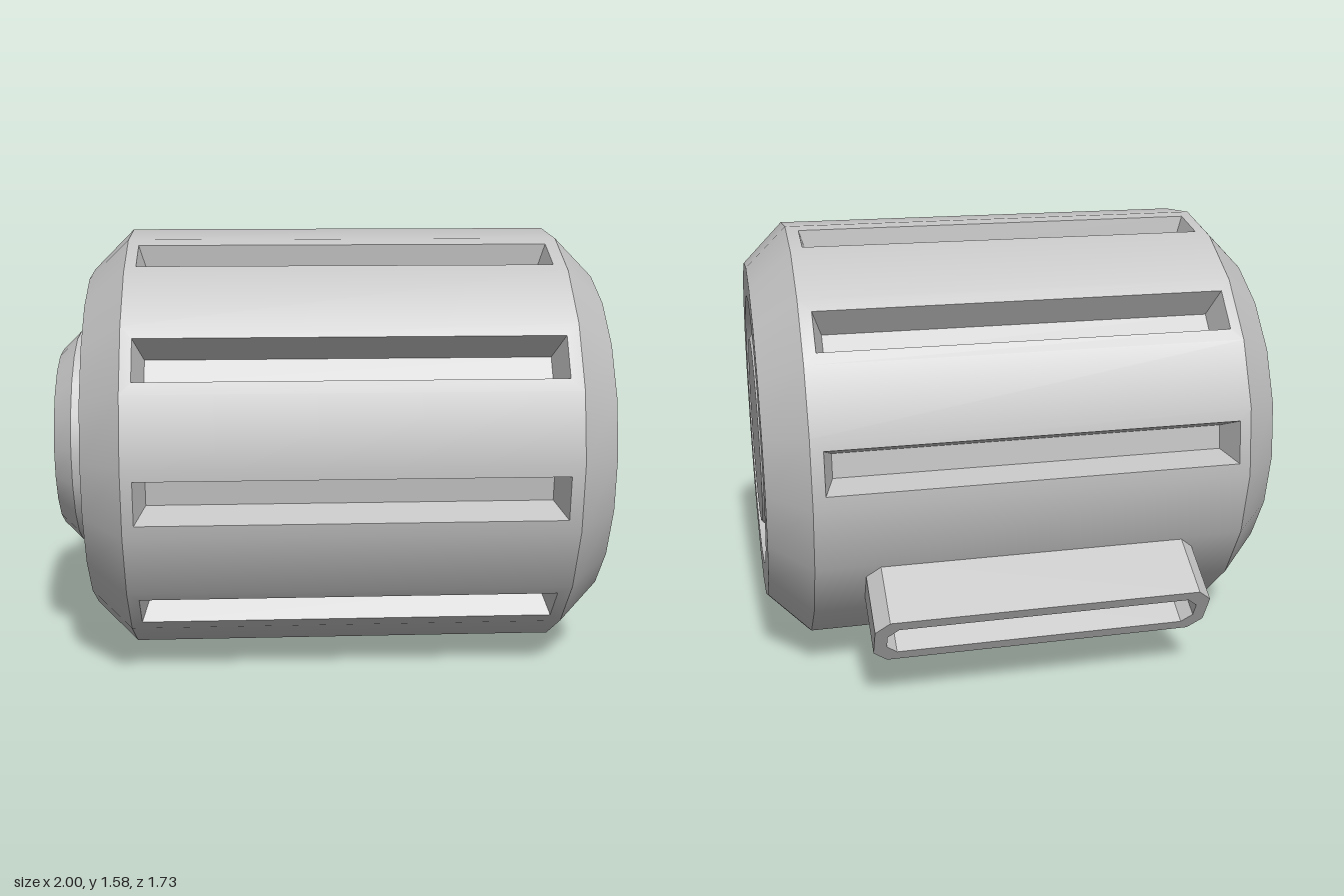
import * as THREE from 'three';
import { mergeGeometries } from 'three/addons/utils/BufferGeometryUtils.js';

const SIDES = 20;
const STEP = (Math.PI * 2) / SIDES;
const R = 0.793;                                  // corner radius of the drum
const APOTHEM = R * Math.cos(STEP / 2);
const HALF = R * Math.sin(STEP / 2);              // half width of one facet
const TURN = THREE.MathUtils.degToRad(3.7);       // rotation of the facets about the axis
const X0 = -0.72, X1 = 0.85;                      // ends of the straight drum wall
const CLIP_FACET = 12;

const facetAngle = (k) => TURN - STEP / 2 + STEP * k;
const radial = (a) => new THREE.Vector3(0, Math.sin(a), Math.cos(a));
const tangent = (a) => new THREE.Vector3(0, Math.cos(a), -Math.sin(a));

// Turned shape along x; every profile step is its own band so the rims stay sharp
function turned(profile) {
  const bands = [];
  for (let i = 0; i < profile.length - 1; i++) {
    const pts = [profile[i], profile[i + 1]].map(([r, x]) => new THREE.Vector2(r, x));
    bands.push(new THREE.LatheGeometry(pts, SIDES, -TURN).rotateZ(-Math.PI / 2));
  }
  return mergeGeometries(bands);
}

// Rectangle corners on a facet, counter-clockwise from outside
const rect = (x0, x1, h, r) => [[x0, -h, r], [x1, -h, r], [x1, h, r], [x0, h, r]];

// Drum wall with a tapered slot sunk in every second facet
function slottedWall() {
  const pos = [], nor = [];
  for (let k = 0; k < SIDES; k++) {
    const a = facetAngle(k), n = radial(a), t = tangent(a);
    const point = ([x, u, r]) =>
      new THREE.Vector3(x, 0, 0).addScaledVector(t, u).addScaledVector(n, r);
    const quad = (c, smooth) => {
      const p = c.map(point);
      const flat = p[1].clone().sub(p[0]).cross(p[2].clone().sub(p[0])).normalize();
      for (const i of [0, 1, 2, 0, 2, 3]) {
        const v = smooth ? radial(a + (STEP / 2) * (c[i][1] / HALF)) : flat;
        pos.push(p[i].x, p[i].y, p[i].z);
        nor.push(v.x, v.y, v.z);
      }
    };
    const outer = rect(X0, X1, HALF, APOTHEM);
    if (k % 2 || k === CLIP_FACET) {
      quad(outer, true);
      continue;
    }
    const rim = rect(-0.68, 0.805, 0.079, APOTHEM);
    const floor = rect(-0.645, 0.77, 0.044, APOTHEM - 0.11);
    for (let i = 0; i < 4; i++) {
      const j = (i + 1) % 4;
      quad([outer[i], outer[j], rim[j], rim[i]], true);
      quad([rim[i], rim[j], floor[j], floor[i]], false);
    }
    quad(floor, false);
  }
  const g = new THREE.BufferGeometry();
  g.setAttribute('position', new THREE.Float32BufferAttribute(pos, 3));
  g.setAttribute('normal', new THREE.Float32BufferAttribute(nor, 3));
  return g;
}

// Rectangle with cut corners
function octagon(l, w, c) {
  return [[-l + c, -w], [l - c, -w], [l, -w + c], [l, w - c],
    [l - c, w], [-l + c, w], [-l, w - c], [-l, -w + c]]
    .map(([x, y]) => new THREE.Vector2(x, y));
}

export function createModel() {
  const metal = new THREE.MeshStandardMaterial({ color: 0xc4c4c4 });
  metal.name = 'light grey metal';

  const model = new THREE.Group();
  model.name = 'slottedDrum';
  const add = (name, geometry, parent) => {
    const mesh = new THREE.Mesh(geometry, metal);
    mesh.name = name;
    parent.add(mesh);
    return mesh;
  };

  const drum = new THREE.Group();
  drum.name = 'drum';
  drum.position.set(0, 0.793, 0.07);
  model.add(drum);

  add('slottedWall', slottedWall(), drum);

  // Bevelled ends; the +x end holds a recess
  add('rightEnd', turned([[0.405, -0.87], [0.643, -0.87], [R, X0]]), drum);
  add('leftEnd', turned([[R, X1], [0.643, 1], [0.52, 1], [0.46, 0.85], [0.405, 0.85]]), drum);

  // Bevelled hubs on the axis
  add('rightHub', turned([[0, -1], [0.335, -1], [0.405, -0.93], [0.405, -0.87]]), drum);
  add('leftHub', turned([[0.405, 0.85], [0.405, 0.95], [0.355, 1], [0, 1]]), drum);

  // Hollow clip standing on a lower rear facet
  const clip = new THREE.Group();
  clip.name = 'clip';
  const a = facetAngle(CLIP_FACET);
  clip.quaternion.setFromRotationMatrix(
    new THREE.Matrix4().makeBasis(new THREE.Vector3(1, 0, 0), tangent(a), radial(a)));
  clip.position.x = 0.065;
  drum.add(clip);

  const opening = octagon(0.56, 0.068, 0.038);
  const frame = new THREE.Shape(octagon(0.605, 0.112, 0.05));
  frame.holes.push(new THREE.Path(opening));
  add('clipFrame', new THREE.ExtrudeGeometry(frame, { depth: 0.26, bevelEnabled: false }), clip)
    .position.z = 0.76;
  add('clipFloor', new THREE.ShapeGeometry(new THREE.Shape(opening)), clip).position.z = 0.9;

  return model;
}
